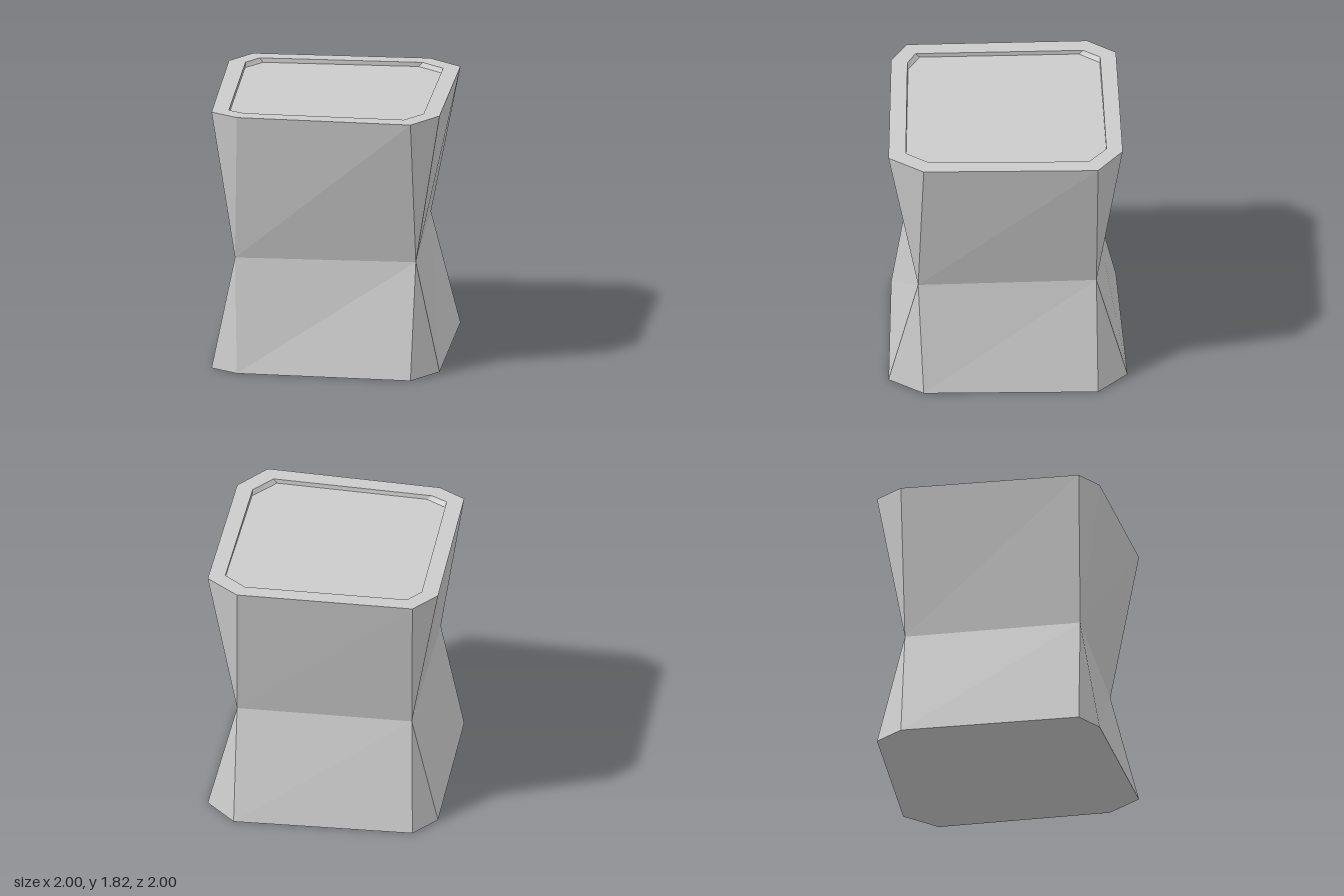
import * as THREE from 'three';

// Corner pairs [x, z] in the order front, right, back, left
const topOuter = [[-0.15, 1], [0.14, 0.96], [1, 0.14], [0.965, -0.145], [0.11, -1], [-0.13, -0.97], [-1, -0.1], [-0.95, 0.11]];
const base = topOuter.map((p, i) => (i === 3 ? [1, -0.155] : p));
const rimInner = [[-0.105, 0.875], [0.09, 0.85], [0.88, 0.1], [0.86, -0.095], [0.07, -0.885], [-0.07, -0.865], [-0.88, -0.06], [-0.845, 0.06]];
const floor = [[-0.12, 0.855], [0.11, 0.83], [0.865, 0.12], [0.84, -0.115], [0.085, -0.865], [-0.09, -0.845], [-0.86, -0.08], [-0.82, 0.08]];
// At the waist each corner pair closes to a single point
const waist = [[0.005, 0.87], [0.855, 0], [0, -0.845], [-0.875, 0]].flatMap((p) => [p, p]);

const H = 1.82, WAIST_Y = 0.785, RECESS = 0.03;
const ring = (pts, y) => pts.map(([x, z]) => new THREE.Vector3(x, y, z));

// Flat-shaded mesh from a list of triangles, skipping collapsed ones
function facetMesh(name, tris, material) {
  const pts = tris.filter(([a, b, c]) => !a.equals(b) && !b.equals(c) && !a.equals(c)).flat();
  const geometry = new THREE.BufferGeometry().setFromPoints(pts);
  geometry.computeVertexNormals();
  const mesh = new THREE.Mesh(geometry, material);
  mesh.name = name;
  return mesh;
}

// Band of split quads between two rings
function band(lo, hi) {
  return lo.flatMap((a, i) => {
    const j = (i + 1) % lo.length;
    return [[a, lo[j], hi[j]], [a, hi[j], hi[i]]];
  });
}

// Fan closing a convex ring, facing up or down
function cap(r, up) {
  return r.slice(2).map((p, i) => (up ? [r[0], r[i + 1], p] : [r[0], p, r[i + 1]]));
}

export function createModel() {
  const group = new THREE.Group();
  group.name = 'pinchedStool';
  const material = new THREE.MeshStandardMaterial({ color: 0xcccccc, flatShading: true });

  const bottom = ring(base, 0);
  const middle = ring(waist, WAIST_Y);
  const top = ring(topOuter, H);
  const inner = ring(rimInner, H);
  const seat = ring(floor, H - RECESS);

  group.add(
    facetMesh('underside', cap(bottom, false), material),
    facetMesh('lowerBody', band(bottom, middle), material),
    facetMesh('upperBody', band(middle, top), material),
    facetMesh('topRim', band(top, inner), material),
    facetMesh('recessWall', band(inner, seat), material),
    facetMesh('recessedSeat', cap(seat, true), material),
  );
  return group;
}
